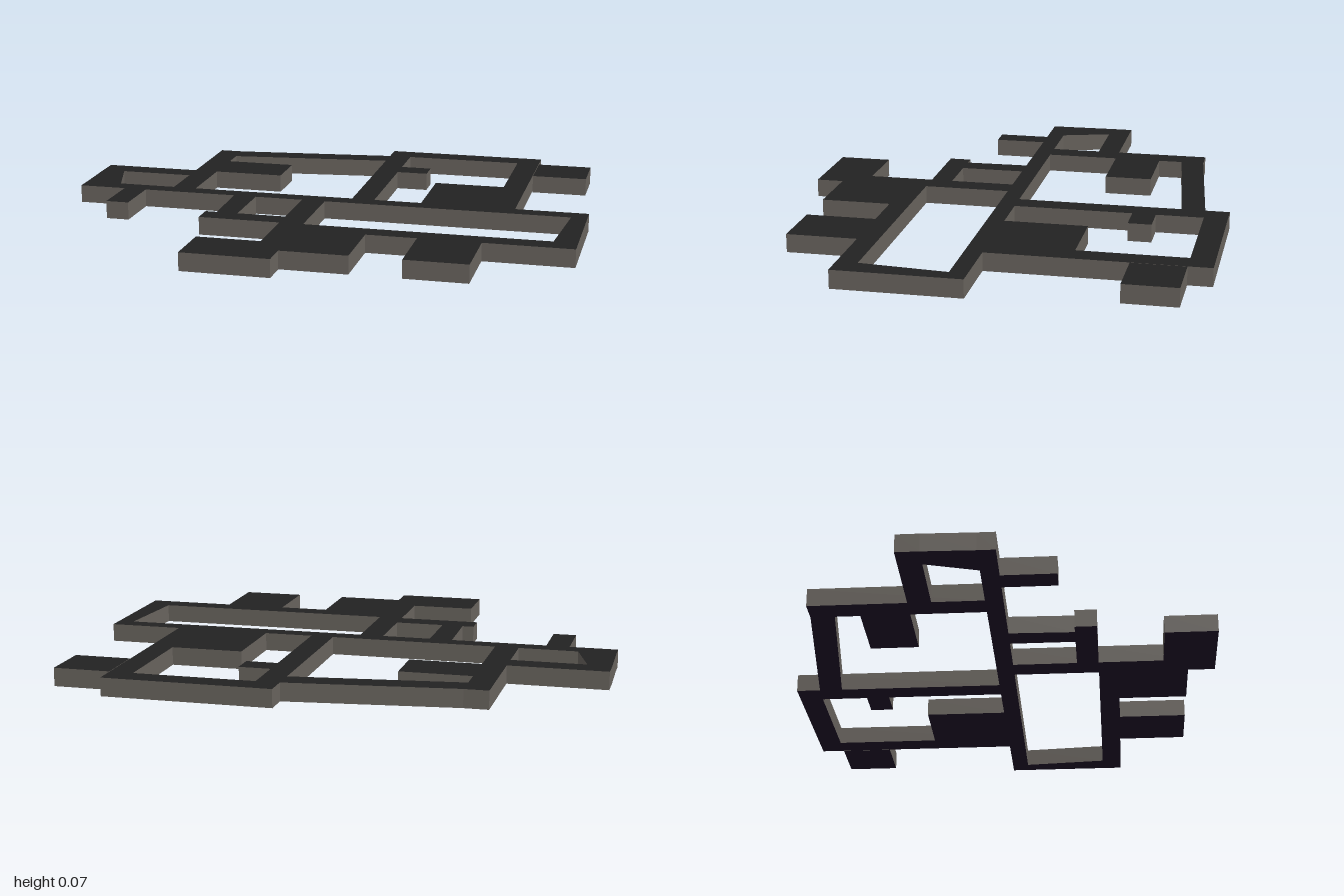
import * as THREE from 'three';

const HEIGHT = 0.068;

const mat = (name, color) => Object.assign(new THREE.MeshStandardMaterial({ color }), { name });
const underside = mat('dark purple underside', 0x20132a);
const roof = mat('black top', 0x222222);
const wall = mat('warm grey wall', 0x6a655f);

// Flat slab from a floor outline of [x, z] corners; bottom, top and walls have their own colours
function slab(name, corners) {
  const shape = new THREE.Shape(corners.map(([x, z]) => new THREE.Vector2(x, -z)));
  const geo = new THREE.ExtrudeGeometry(shape, { depth: HEIGHT, bevelEnabled: false });
  geo.rotateX(-Math.PI / 2);
  const [caps, sides] = geo.groups.map((g) => ({ ...g }));
  geo.clearGroups();
  geo.addGroup(caps.start, caps.count / 2, 0);
  geo.addGroup(caps.start + caps.count / 2, caps.count / 2, 1);
  geo.addGroup(sides.start, sides.count, 2);
  const mesh = new THREE.Mesh(geo, [underside, roof, wall]);
  mesh.name = name;
  return mesh;
}

const rect = (x0, z0, x1, z1) => [[x0, z0], [x1, z0], [x1, z1], [x0, z1]];

export function createModel() {
  const model = new THREE.Group();
  model.name = 'floorPlan';

  // Straight passages and rooms: name, x min, z min, x max, z max
  const blocks = [
    ['mainCorridor', -0.995, -0.02, 1, 0.045],
    // Back right loop
    ['backRightPassage', -0.63, -0.655, -0.54, -0.02],
    ['backRightRoom', -0.54, -0.475, -0.27, -0.295],
    ['outerRightPassage', -1, -0.295, -0.63, -0.21],
    // Back left loop
    ['backMiddlePassage', 0.093, -0.73, 0.18, -0.02],
    ['backAlcove', 0.18, -0.553, 0.3, -0.465],
    ['rearPassage', 0.093, -0.818, 0.723, -0.73],
    ['backLeftPassage', 0.635, -0.73, 0.723, -0.02],
    ['backLeftRoom', 0.363, -0.33, 0.635, -0.02],
    ['outerLeftRoom', 0.725, -0.73, 0.938, -0.533],
    // Front right branches
    ['frontRightStub', -0.813, 0.045, -0.725, 0.243],
    ['frontRightCrossing', -0.4, 0.288, -0.09, 0.37],
    // Front left loop
    ['frontMiddlePassage', -0.09, 0.045, 0, 0.37],
    ['frontHall', -0.09, 0.37, 0.25, 0.71],
    ['frontRoomBack', -0.33, 0.615, -0.09, 0.812],
    ['frontRoomFront', -0.09, 0.71, 0, 0.812],
    ['frontLeftCorridor', 0.25, 0.37, 1, 0.447],
    ['frontLeftRoom', 0.438, 0.447, 0.67, 0.71],
  ];
  for (const [name, ...box] of blocks) model.add(slab(name, rect(...box)));

  // Passages with slanted sides
  model.add(
    slab('slantedPassage', [[-0.54, -0.655], [0.093, -0.727], [0.093, -0.64], [-0.54, -0.567]]),
    slab('outerRightTaper', [[-1, -0.21], [-0.91, -0.21], [-0.853, -0.02], [-0.995, -0.02]]),
    slab('outerLeftTaper', [[0.94, 0.045], [1, 0.045], [1, 0.37], [0.913, 0.37]]),
    slab('frontRightPassage', [[-0.362, 0.045], [-0.275, 0.045], [-0.275, 0.288], [-0.356, 0.288]]),
  );
  return model;
}
